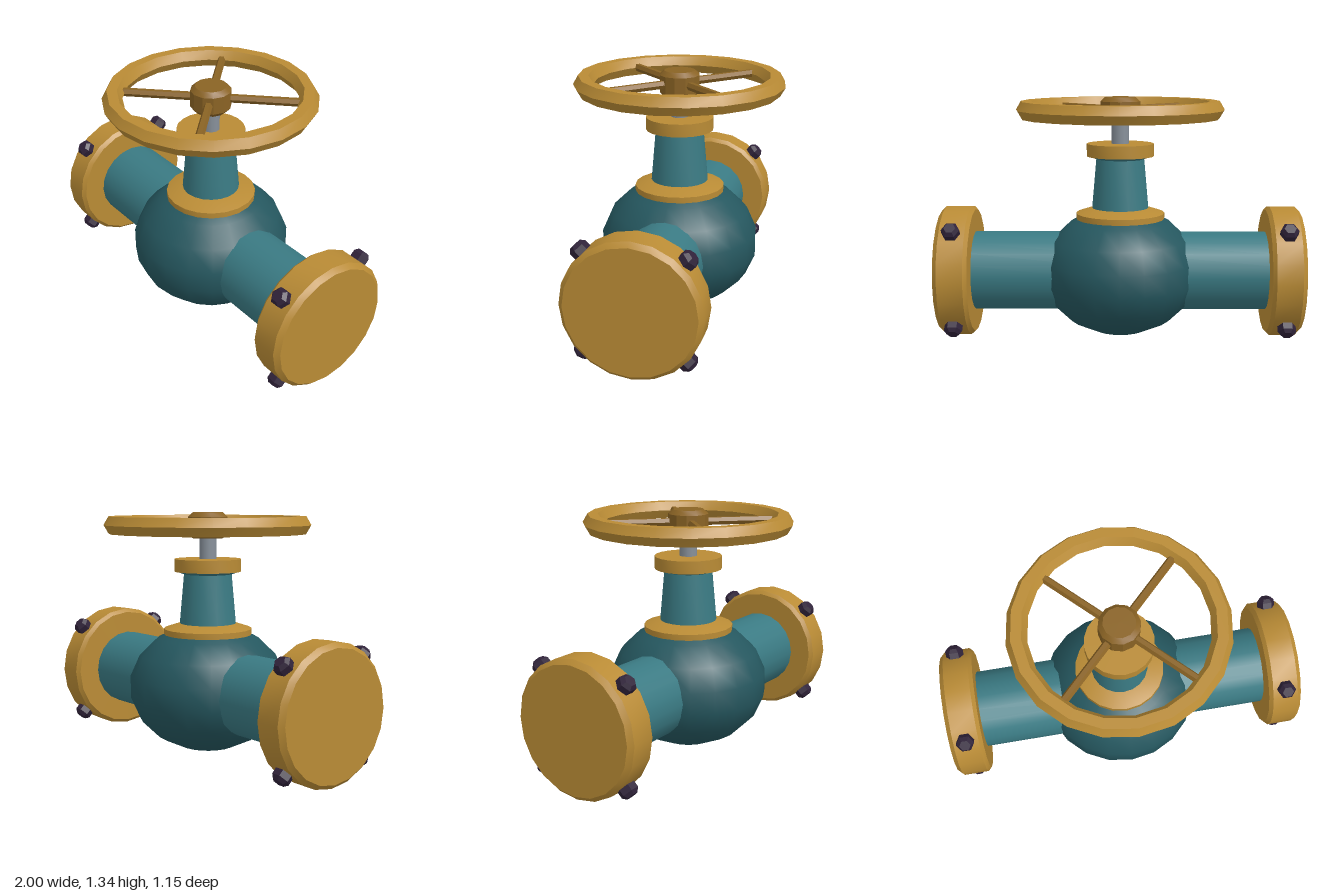
import * as THREE from 'three';
import { toCreasedNormals } from 'three/addons/utils/BufferGeometryUtils.js';

const paint = (name, color) => {
  const m = new THREE.MeshStandardMaterial({ color });
  m.name = name;
  return m;
};

export function createModel() {
  const gold = paint('gold', 0xb98b35);
  const bronze = paint('bronze', 0x8a6324);
  const teal = paint('teal', 0x3a7a83);
  const darkTeal = paint('dark teal', 0x25575f);
  const steel = paint('steel', 0x87909a);
  const boltDark = paint('dark bolt', 0x30233a);

  const model = new THREE.Group();
  model.name = 'gateValve';
  const AXIS_Y = 0.37;
  const WHEEL_Y = 1.275;

  const add = (name, geometry, material, parent = model) => {
    const mesh = new THREE.Mesh(geometry, material);
    mesh.name = name;
    parent.add(mesh);
    return mesh;
  };
  // turned part from [radius, height] pairs, bottom to top
  const turned = (profile, sides) => toCreasedNormals(
    new THREE.LatheGeometry(profile.map(([r, y]) => new THREE.Vector2(r, y)), sides), 0.5);

  // bulbous valve body
  const body = new THREE.SphereGeometry(0.442, 20, 9);
  body.scale(1, 0.36 / 0.442, 1);
  add('body', body, darkTeal).position.y = AXIS_Y;

  // pipe stub, end flange and bolts on each side
  for (const side of [1, -1]) {
    const end = new THREE.Group();
    end.name = side > 0 ? 'leftEnd' : 'rightEnd';
    end.position.y = AXIS_Y;
    end.rotation.y = side > 0 ? 0 : Math.PI;
    model.add(end);

    const pipe = new THREE.CylinderGeometry(0.22, 0.22, 0.74, 20, 1, true);
    pipe.rotateZ(-Math.PI / 2);
    add('pipe', pipe, teal, end).position.x = 0.47;

    const flange = turned([[0, 0.815], [0.345, 0.815], [0.365, 0.835],
      [0.365, 0.975], [0.34, 1], [0, 1]], 20);
    flange.rotateZ(-Math.PI / 2);
    add('flange', flange, gold, end);

    // hex bolts pointing outward from the flange rim
    for (let i = 0; i < 4; i++) {
      const bolt = turned([[0.05, 0.33], [0.05, 0.395], [0.032, 0.415], [0, 0.415]], 6);
      bolt.rotateY(Math.PI / 6);
      bolt.rotateX(Math.PI / 4 + i * Math.PI / 2);
      add('bolt', bolt, boltDark, end).position.x = 0.907;
    }
  }

  // bonnet: lower collar, tapered neck, gland ring and stem
  add('lowerCollar', turned([[0, 0.668], [0.247, 0.668], [0.247, 0.7], [0.155, 0.73], [0, 0.73]], 20), gold);
  add('neck', turned([[0.158, 0.72], [0.133, 1.003], [0.183, 1.02]], 20), teal);
  add('glandRing', turned([[0, 1.018], [0.186, 1.018], [0.186, 1.088], [0, 1.088]], 20), gold);
  add('stem', new THREE.CylinderGeometry(0.048, 0.048, 0.16, 12), steel).position.y = 1.155;

  // handwheel
  const wheel = new THREE.Group();
  wheel.name = 'handwheel';
  wheel.position.y = WHEEL_Y;
  model.add(wheel);
  const rim = new THREE.TorusGeometry(0.52, 0.055, 6, 20);
  rim.rotateX(-Math.PI / 2);
  add('rim', toCreasedNormals(rim, 0.7), gold, wheel);
  add('hub', turned([[0, -0.073], [0.085, -0.073], [0.11, -0.048],
    [0.11, 0.045], [0.085, 0.069], [0, 0.069]], 12), bronze, wheel);
  for (let i = 0; i < 4; i++) {
    const spoke = new THREE.CylinderGeometry(0.023, 0.023, 0.42, 6);
    spoke.rotateZ(Math.PI / 2);
    spoke.translate(0.29, 0, 0);
    spoke.rotateY(Math.PI / 4 + i * Math.PI / 2);
    add('spoke', toCreasedNormals(spoke, 0.7), bronze, wheel);
  }

  return model;
}
